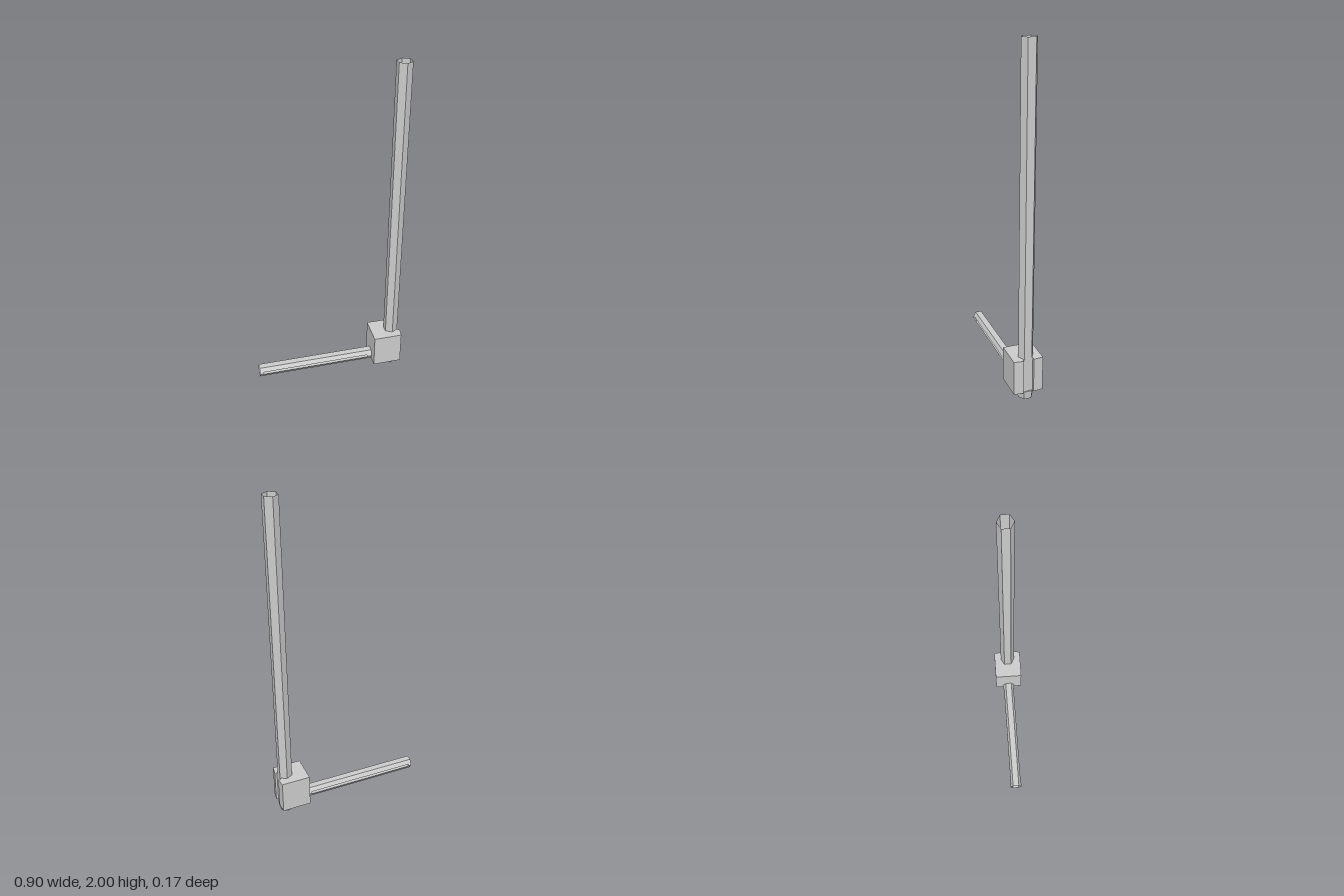
import * as THREE from 'three';

const material = new THREE.MeshStandardMaterial({ color: 0xcccccc, flatShading: true, side: THREE.DoubleSide });

function add(parent, name, geometry, x = 0, y = 0, z = 0) {
  const mesh = new THREE.Mesh(geometry, material);
  mesh.name = name;
  mesh.position.set(x, y, z);
  parent.add(mesh);
  return mesh;
}

// Thin sheet: an open [y, z] profile swept along x
function sheet(profile, x0, x1) {
  const positions = [];
  for (let i = 0; i < profile.length - 1; i++) {
    const [ya, za] = profile[i], [yb, zb] = profile[i + 1];
    positions.push(x0, ya, za, x1, ya, za, x1, yb, zb);
    positions.push(x0, ya, za, x1, yb, zb, x0, yb, zb);
  }
  const geometry = new THREE.BufferGeometry();
  geometry.setAttribute('position', new THREE.Float32BufferAttribute(positions, 3));
  geometry.computeVertexNormals();
  return geometry;
}

export function createModel() {
  const model = new THREE.Group();
  model.name = 'squareWithPost';
  const postX = 0.397;

  // Tall open hexagonal post
  add(model, 'post', new THREE.CylinderGeometry(0.044, 0.044, 1.75, 6, 1, true), postX, 1.125, 0);

  // Joint block, with a slightly bowed outer face and a shallow tapered groove
  const outline = [
    [0.27, -0.086], [0.443, -0.086], [0.449, -0.03], [0.43, -0.03],
    [0.437, 0.03], [0.45, 0.03], [0.443, 0.086], [0.27, 0.086],
  ];
  const shape = new THREE.Shape(outline.map(([x, z]) => new THREE.Vector2(x, -z)));
  const block = new THREE.ExtrudeGeometry(shape, { depth: 0.205, bevelEnabled: false });
  block.rotateX(-Math.PI / 2);
  add(model, 'jointBlock', block, 0, 0.05, 0);

  // Tapered plug under the block
  add(model, 'plug', new THREE.CylinderGeometry(0.05, 0.043, 0.05, 6), postX, 0.025, 0);

  // Hexagonal arm: closed ring at each end, slotted along front and back
  const arm = new THREE.Group();
  arm.name = 'arm';
  arm.position.set(0, 0.081, -0.001);
  model.add(arm);
  const r = 0.038, h = r * Math.sqrt(3) / 2, slot = 0.008;
  const edge = r - slot / Math.sqrt(3);
  for (const [name, x0, x1] of [['armTip', -0.45, -0.43], ['armRoot', 0.24, 0.27]]) {
    const ring = new THREE.CylinderGeometry(r, r, x1 - x0, 6, 1, true);
    ring.rotateZ(Math.PI / 2);
    add(arm, name, ring, (x0 + x1) / 2, 0, 0);
  }
  for (const [name, s] of [['upperRail', 1], ['lowerRail', -1]]) {
    const profile = [[s * slot, s * edge], [s * h, s * r / 2], [s * h, -s * r / 2], [s * slot, -s * edge]];
    add(arm, name, sheet(profile, -0.43, 0.24));
  }

  return model;
}
